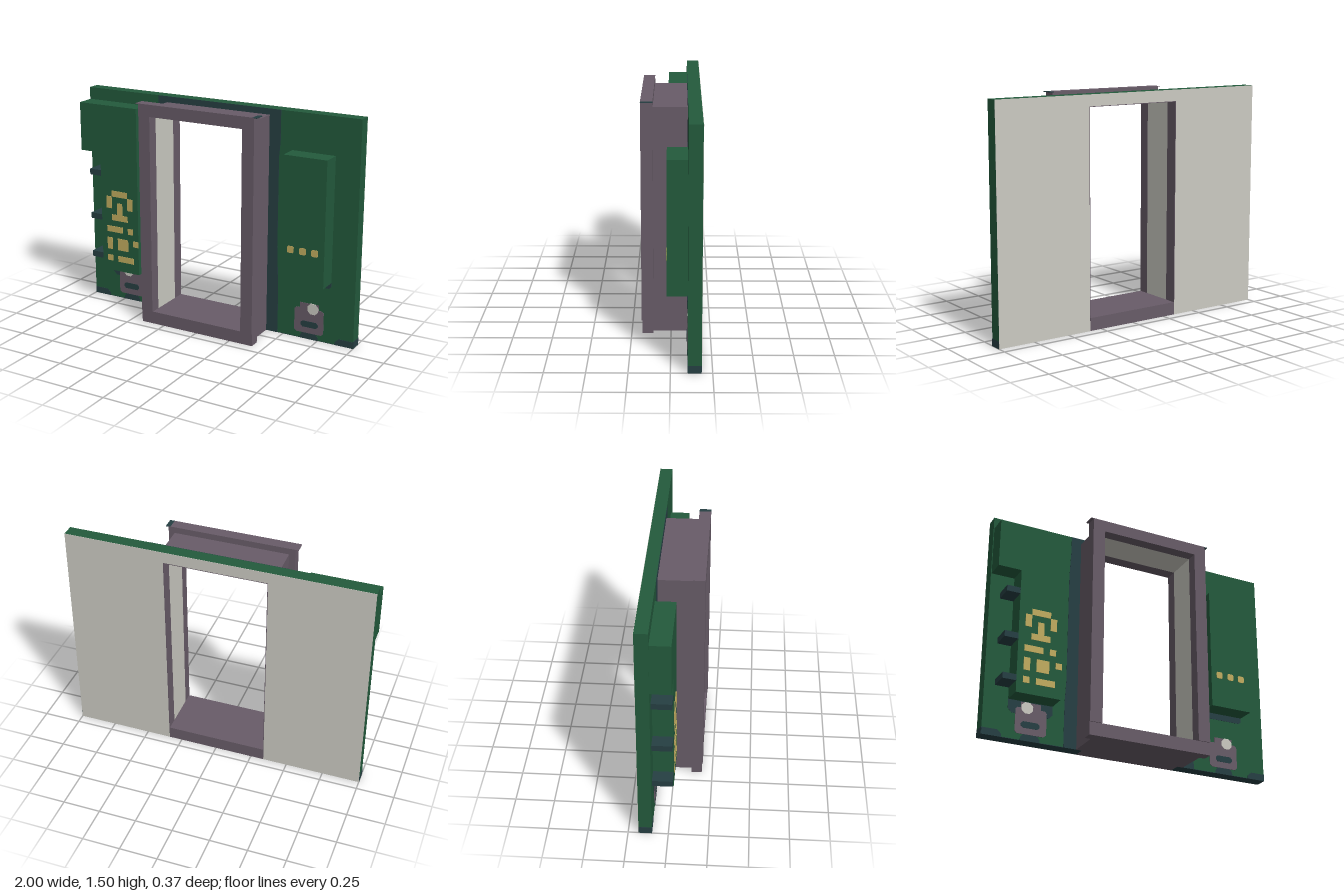
import * as THREE from 'three';

const mat = (name, color) => {
  const m = new THREE.MeshStandardMaterial({ color });
  m.name = name;
  return m;
};

export function createModel() {
  const green = mat('green panel', 0x235a3c);
  const purple = mat('purple grey frame', 0x685c68);
  const navy = mat('dark teal', 0x263f43);
  const gold = mat('gold marks', 0xc2ad60);
  const pale = mat('pale plaster', 0xcbcac2);

  const root = new THREE.Group();
  root.name = 'doorwayWall';
  const BACK = -0.187, WALL = -0.103, FLANGE = 0.112, FRONT = 0.187, BOX = 0.024;

  const add = (name, geo, material, parent = root) => {
    const mesh = new THREE.Mesh(geo, material);
    mesh.name = name;
    parent.add(mesh);
    return mesh;
  };
  // Box given by its limits on each axis
  const box = (name, material, x0, x1, y0, y1, z0, z1, parent) => {
    const geo = new THREE.BoxGeometry(x1 - x0, y1 - y0, z1 - z0);
    geo.translate((x0 + x1) / 2, (y0 + y1) / 2, (z0 + z1) / 2);
    return add(name, geo, material, parent);
  };
  // Outline extruded from z0 to z1
  const slab = (name, material, pts, z0, z1, parent) => {
    const shape = new THREE.Shape(pts.map(([x, y]) => new THREE.Vector2(x, y)));
    const geo = new THREE.ExtrudeGeometry(shape, { depth: z1 - z0, bevelEnabled: false });
    geo.translate(0, 0, z0);
    return add(name, geo, material, parent);
  };
  // Upside-down U around the doorway
  const arch = (name, material, ox, oy, ix, iy, y0, z0, z1) => slab(name, material, [
    [-ox, y0], [-ix, y0], [-ix, iy], [ix, iy], [ix, y0], [ox, y0], [ox, oy], [-ox, oy],
  ], z0, z1);
  // Rectangle with cut corners
  const cut = (x0, x1, y0, y1, c) => [
    [x0 + c, y0], [x1 - c, y0], [x1, y0 + c], [x1, y1 - c],
    [x1 - c, y1], [x0 + c, y1], [x0, y1 - c], [x0, y0 + c],
  ];

  // Wall: green body, pale back skin, dark underside
  arch('wall', green, 1, 1.503, 0.339, 1.429, 0.003, BACK + 0.002, WALL);
  arch('wallBack', pale, 1, 1.503, 0.339, 1.429, 0, BACK, BACK + 0.002);
  for (const s of [-1, 1]) {
    const x0 = s < 0 ? -1 : 0.339;
    box('wallUnderside', navy, x0, x0 + 0.661, 0, 0.003, BACK + 0.002, WALL);
  }

  // Doorway: wall lining, tunnel, pale inner lining, front flange and sill
  arch('wallLining', purple, 0.339, 1.429, 0.335, 1.425, 0.085, BACK, WALL);
  arch('tunnel', purple, 0.378, 1.463, 0.338, 1.428, 0, WALL, FLANGE);
  arch('tunnelLining', pale, 0.338, 1.428, 0.335, 1.425, 0.085, WALL, FLANGE);
  arch('frontFrame', purple, 0.418, 1.503, 0.335, 1.425, 0.085, FLANGE, FRONT);
  box('threshold', purple, -0.338, 0.338, 0, 0.085, BACK, FLANGE);
  box('frontSill', purple, -0.418, 0.418, 0, 0.085, FLANGE, 0.181);
  box('frameCap', purple, -0.438, 0.405, 1.5, 1.504, FLANGE, FRONT);
  box('frameCapEnd', navy, 0.405, 0.436, 1.5, 1.504, FLANGE, FRONT);

  // Dark border painted on the wall around the tunnel
  const P = WALL + 0.002;
  slab('doorBorder', navy, [
    [-0.465, 0], [-0.37, 0], [-0.37, 1.46], [0.37, 1.46], [0.37, 0], [0.46, 0],
    [0.46, 0.3], [0.448, 0.6], [0.448, 1.2], [0.457, 1.3], [0.457, 1.503],
    [-0.447, 1.503], [-0.447, 1.4], [-0.457, 1.2], [-0.457, 0.45], [-0.465, 0.3],
  ], WALL, P);

  // Wall cabinets with dark paint below them
  slab('rightCabinet', green, [
    [-0.84, 0.255], [-0.545, 0.255], [-0.545, 1.422], [-0.995, 1.422], [-0.995, 1.09], [-0.84, 1.09],
  ], WALL, BOX);
  box('leftCabinet', green, 0.54, 0.835, 0.42, 1.255, WALL, BOX);
  slab('rightCabinetShade', navy, cut(-0.84, -0.545, 0.17, 0.28, 0.025), WALL, P);
  slab('leftCabinetShade', navy, cut(0.54, 0.835, 0.378, 0.44, 0.015), WALL, P);

  // Pipe brackets beside the tall cabinet
  for (const y of [0.945, 0.63, 0.35]) {
    box('bracket', navy, -0.93, -0.84, y - 0.02, y + 0.02, WALL, BOX - 0.001);
  }

  // Gold marks, one small cell per '#'
  const marks = new THREE.Group();
  marks.name = 'goldMarks';
  root.add(marks);
  const c = 0.0424;
  [
    ' ###  ', '#   # ', '# # # ', '  #   ', ' ###  ', '',
    '### # ', '', '# ## #', '# ##  ', '', '# ### ',
  ].forEach((row, r) => {
    for (const run of row.matchAll(/#+/g)) {
      const x = -0.798 + run.index * c, y = 0.834 - r * c;
      box('mark', gold, x, x + run[0].length * c, y - c, y, BOX, BOX + 0.003, marks);
    }
  });
  for (const x of [0.602, 0.687, 0.769]) {
    slab('mark', gold, cut(x - 0.023, x + 0.023, 0.623, 0.669, 0.007), BOX, BOX + 0.003, marks);
  }

  // Painted access plates and dark corners, mirrored
  for (const s of [-1, 1]) {
    const g = new THREE.Group();
    g.name = s < 0 ? 'rightAccessPlate' : 'leftAccessPlate';
    root.add(g);
    const put = (name, m, pts, layer) => slab(name, m,
      s < 0 ? pts.map(([x, y]) => [-x, y]) : pts, WALL, P + layer * 0.0015, g);
    put('plate', purple, [
      [0.6, 0.042], [0.775, 0.042], [0.79, 0.057], [0.79, 0.2], [0.777, 0.213], [0.755, 0.213],
      [0.755, 0.25], [0.622, 0.25], [0.622, 0.213], [0.597, 0.213], [0.583, 0.2], [0.583, 0.057],
    ], 1);
    put('slot', navy, cut(0.628, 0.752, 0.083, 0.125, 0.014), 2);
    put('lamp', pale, cut(0.675, 0.752, 0.178, 0.252, 0.022), 2);
    put('footShade', navy, [[0.625, 0], [0.752, 0], [0.752, 0.02], [0.735, 0.042], [0.64, 0.042], [0.625, 0.02]], 0);
    put('cornerShade', navy, [[0.873, 0], [1, 0], [1, 0.045], [0.9, 0.045], [0.873, 0.02]], 0);
    const x = s * 1.001;
    box('edgeShade', navy, x - 0.001, x + 0.001, 0, 0.048, BACK + 0.002, WALL, g);
  }

  return root;
}
